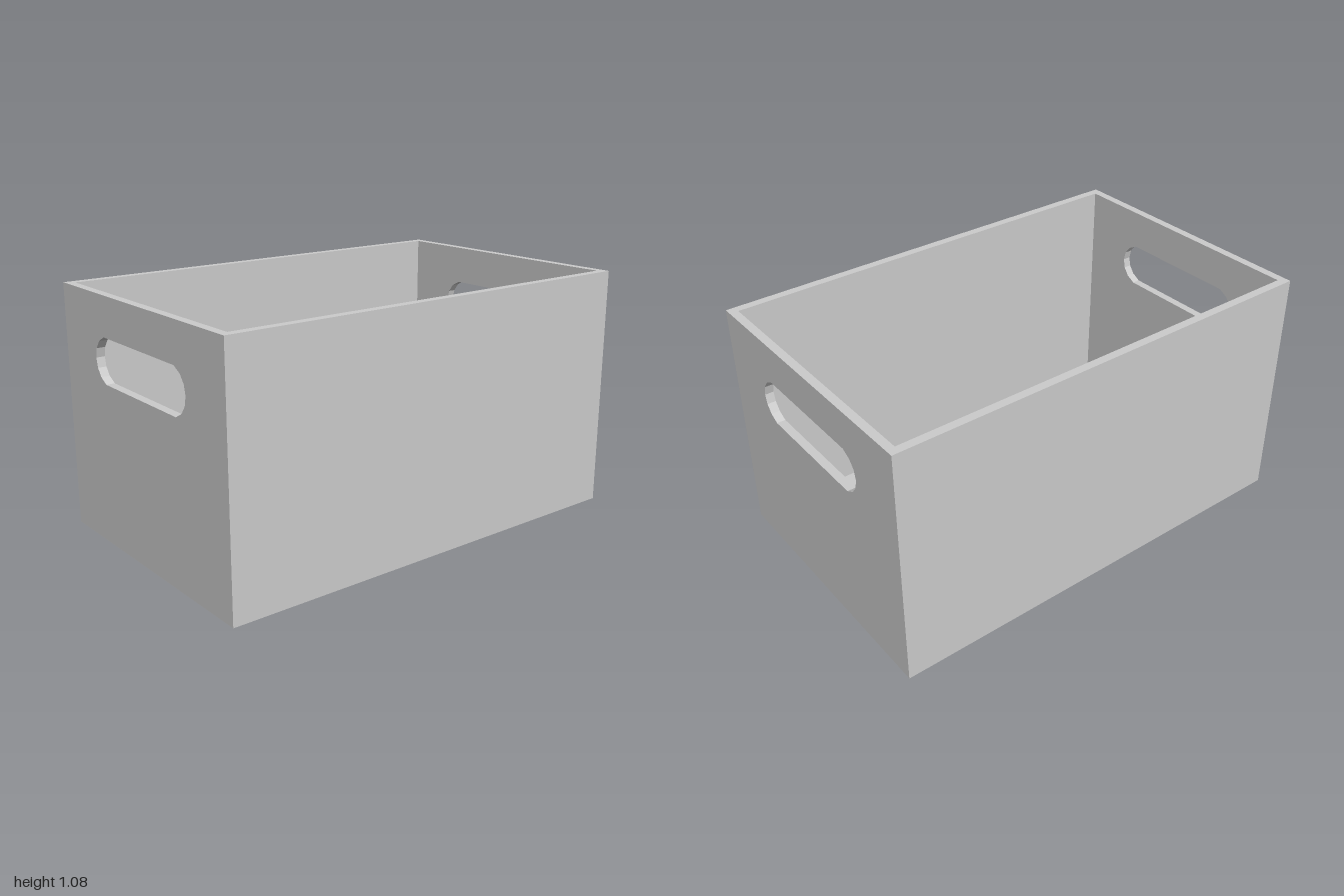
import * as THREE from 'three';

const W = 0.62, H = 1.075, D = 1, T = 0.037; // half width, height, half depth, board thickness

export function createModel() {
  const group = new THREE.Group();
  group.name = 'openCrate';
  const material = new THREE.MeshStandardMaterial({ color: 0xcccccc, flatShading: true });

  const add = (name, geometry, x, y, z) => {
    const mesh = new THREE.Mesh(geometry, material);
    mesh.name = name;
    mesh.position.set(x, y, z);
    group.add(mesh);
  };

  // Floor and long side walls, fitted between the end panels
  const inner = 2 * (D - T);
  add('floor', new THREE.BoxGeometry(2 * (W - T), T, inner), 0, T / 2, 0);
  for (const [side, s] of [['left', 1], ['right', -1]]) {
    add(side + 'Wall', new THREE.BoxGeometry(T, H, inner), s * (W - T / 2), H / 2, 0);
  }

  // End panel outline with a faceted rounded handle slot
  const panel = new THREE.Shape([[-W, 0], [W, 0], [W, H], [-W, H]].map(p => new THREE.Vector2(...p)));
  const slotY = 0.805;
  const arc = [[0.276, -0.098], [0.318, -0.075], [0.343, -0.041], [0.352, 0],
    [0.343, 0.041], [0.318, 0.075], [0.276, 0.098]];
  const slot = [...arc, ...arc.map(([x, y]) => [-x, -y])];
  panel.holes.push(new THREE.Path(slot.map(([x, y]) => new THREE.Vector2(x, slotY + y))));
  const panelGeometry = new THREE.ExtrudeGeometry(panel, { depth: T, bevelEnabled: false });
  add('frontPanel', panelGeometry, 0, 0, D - T);
  add('backPanel', panelGeometry, 0, 0, -D);

  return group;
}
